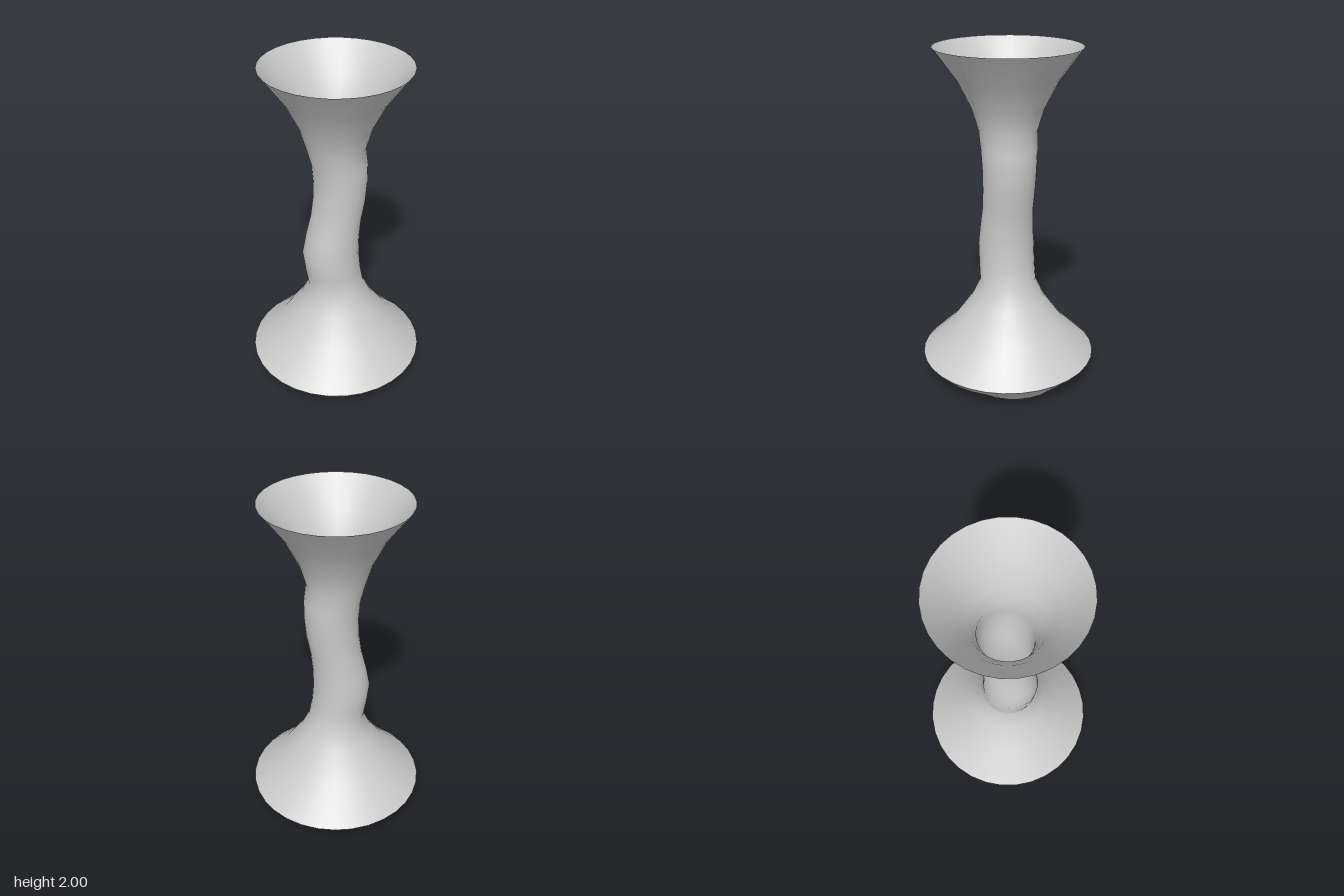
import * as THREE from 'three';

const SIDES = 32;
const material = new THREE.MeshStandardMaterial({ color: 0xcccccc, side: THREE.DoubleSide });

// Open tube through elliptical rings, each [y, left edge x, right edge x, half depth], bottom to top
function loft(name, rings) {
  const positions = [], index = [];
  rings.forEach(([y, x0, x1, rz], i) => {
    for (let j = 0; j < SIDES; j++) {
      const t = (j / SIDES) * Math.PI * 2;
      positions.push((x0 + x1) / 2 + ((x1 - x0) / 2) * Math.sin(t), y, rz * Math.cos(t));
      if (i === rings.length - 1) continue;
      const a = i * SIDES + j, b = i * SIDES + ((j + 1) % SIDES);
      index.push(a, b, b + SIDES, a, b + SIDES, a + SIDES);
    }
  });
  const geometry = new THREE.BufferGeometry();
  geometry.setAttribute('position', new THREE.Float32BufferAttribute(positions, 3));
  geometry.setIndex(index);
  geometry.computeVertexNormals();
  const mesh = new THREE.Mesh(geometry, material);
  mesh.name = name;
  return mesh;
}

const round = (y, r) => [y, -r, r, r];

export function createModel() {
  const group = new THREE.Group();
  group.name = 'vase';

  // Foot tucks in to an oval opening, with a sharp edge where it meets the body
  group.add(loft('foot', [
    [0, -0.4, 0.4, 0.343],
    [0.075, -0.47, 0.47, 0.48],
    round(0.13, 0.527),
  ]));

  // Flared skirt, swaying neck and trumpet mouth
  group.add(loft('body', [
    round(0.13, 0.527),
    round(0.31, 0.345),
    round(0.48, 0.225),
    round(0.6, 0.168),
    [0.71, -0.188, 0.147, 0.167],
    [0.83, -0.203, 0.136, 0.166],
    [0.95, -0.18, 0.138, 0.158],
    [1.07, -0.15, 0.15, 0.15],
    [1.19, -0.134, 0.172, 0.153],
    [1.31, -0.13, 0.182, 0.157],
    [1.42, -0.139, 0.182, 0.162],
    round(1.53, 0.168),
    round(1.66, 0.207),
    round(1.82, 0.287),
    round(2, 0.418),
  ]));
  return group;
}
